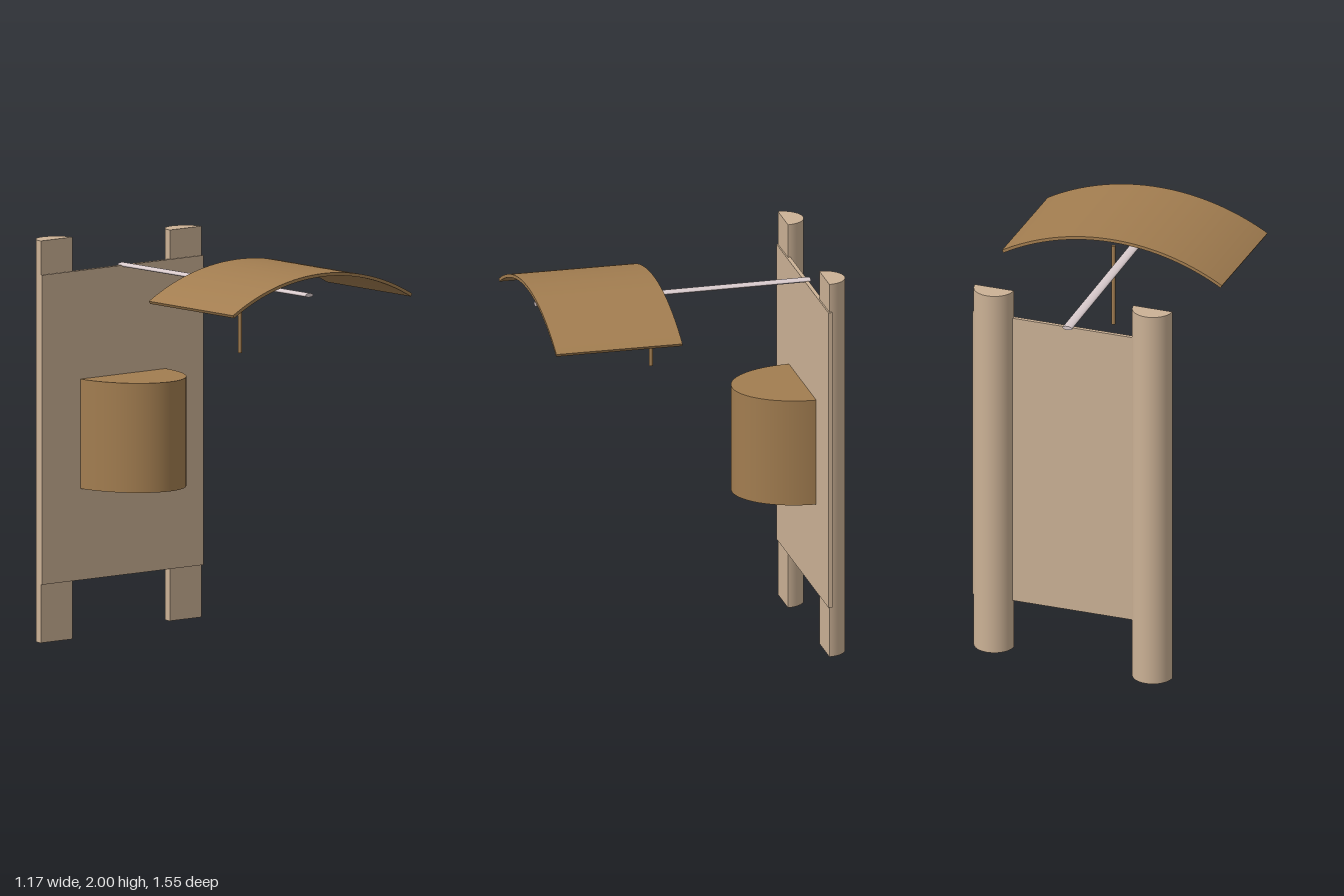
import * as THREE from 'three';
import { mergeGeometries, toCreasedNormals } from 'three/addons/utils/BufferGeometryUtils.js';

const paleWood = new THREE.MeshStandardMaterial({ color: 0xccb296 });
const brownWood = new THREE.MeshStandardMaterial({ color: 0xa27d50 });
const paleMetal = new THREE.MeshStandardMaterial({ color: 0xd8cacc });

// Solid half cylinder of radius 1: round towards +z, flat face on z = 0.
function halfCylinder(height) {
  const round = new THREE.CylinderGeometry(1, 1, height, 40, 1, false, -Math.PI / 2, Math.PI);
  const flat = new THREE.PlaneGeometry(2, height).rotateY(Math.PI);
  return mergeGeometries([round, flat]);
}

// Curved sheet, arched across x and running along z.
function archedSheet(outer, inner, halfAngle, depth) {
  const a = Math.PI / 2 - halfAngle, b = Math.PI / 2 + halfAngle;
  const shape = new THREE.Shape();
  shape.absarc(0, 0, outer, a, b, false);
  shape.absarc(0, 0, inner, b, a, true);
  const geometry = new THREE.ExtrudeGeometry(shape, { depth, bevelEnabled: false, curveSegments: 40 });
  return toCreasedNormals(geometry, 0.5);
}

export function createModel() {
  const model = new THREE.Group();
  model.name = 'wallStand';
  // Everything but the rod is turned slightly about the vertical axis
  const turned = new THREE.Group();
  turned.name = 'turnedParts';
  turned.rotation.y = -0.026;
  model.add(turned);

  function add(parent, name, geometry, material, x, y, z) {
    const mesh = new THREE.Mesh(geometry, material);
    mesh.name = name;
    mesh.position.set(x, y, z);
    parent.add(mesh);
    return mesh;
  }

  // Two half-round posts, the second one a little shorter
  const posts = [['rightPost', -0.498, 0, 2], ['leftPost', 0.335, 0.03, 1.975]];
  for (const [name, x, bottom, top] of posts) {
    const post = add(turned, name, halfCylinder(top - bottom), paleWood, x, (bottom + top) / 2, -0.664);
    post.rotation.y = Math.PI;
    post.scale.set(0.102, 1, 0.102);
  }

  // Back panel
  add(turned, 'panel', new THREE.BoxGeometry(1.044, 1.54, 0.02), paleWood, -0.076, 1.06, -0.667);

  // Half-oval bin on the panel
  const bin = add(turned, 'bin', halfCylinder(0.545), brownWood, -0.075, 1.0175, -0.658);
  bin.scale.set(0.275, 1, 0.358);

  // Arched canopy
  add(turned, 'canopy', archedSheet(1.156, 1.14, Math.PI / 6, 0.64), brownWood, 0.011, 0.784, 0.12);

  // Hanging stick under the canopy
  add(turned, 'stick', new THREE.CylinderGeometry(0.01, 0.01, 0.425, 16), brownWood, 0.008, 1.6875, 0.134);

  // Flattened rod reaching forward from the panel
  const rodShape = new THREE.CylinderGeometry(1, 1, 1.4, 24).rotateX(Math.PI / 2).scale(0.025, 0.01, 1);
  const rod = add(model, 'rod', rodShape, paleMetal, -0.045, 1.83, 0.01);
  rod.rotation.y = -0.0086;

  return model;
}
